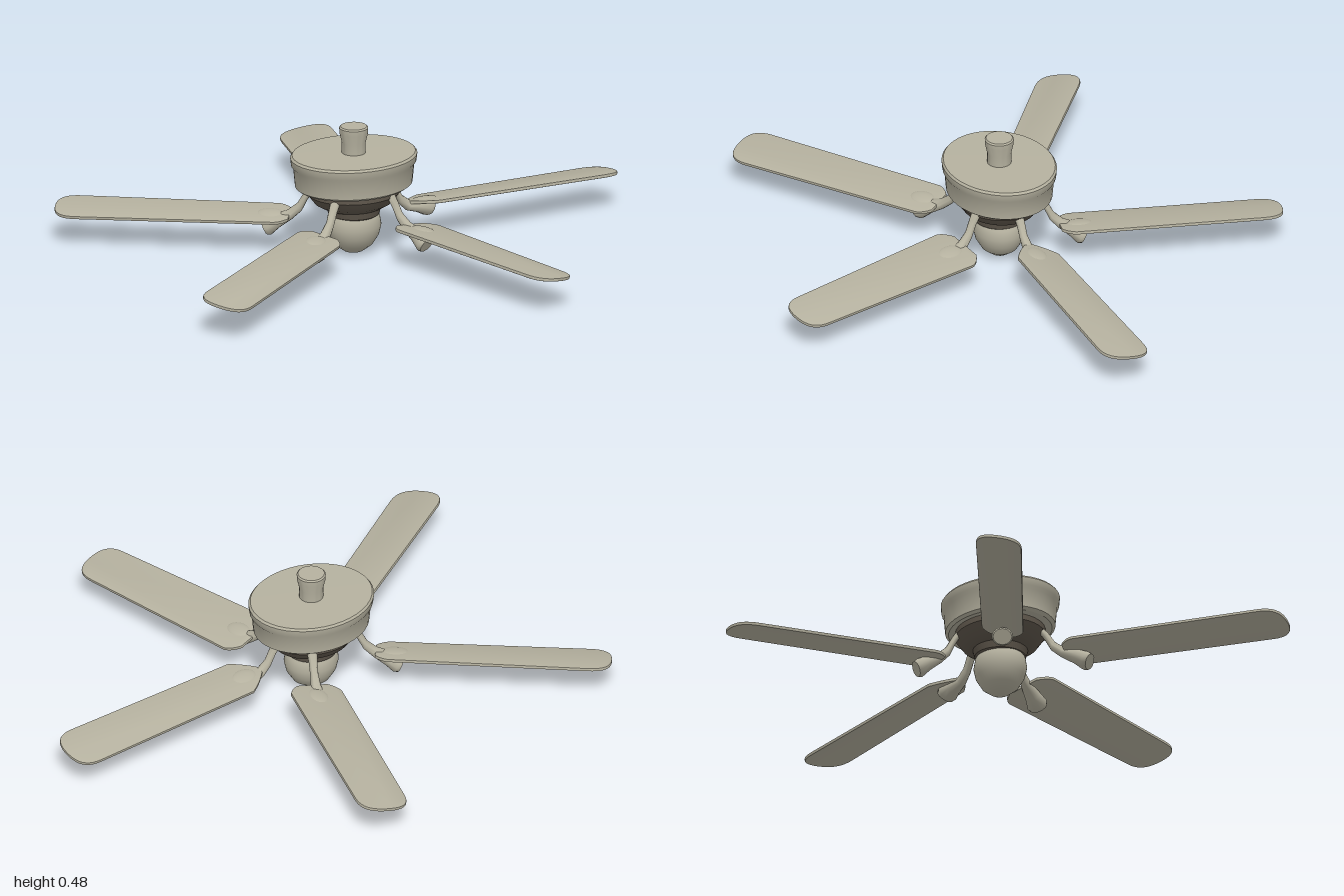
import * as THREE from 'three';
import { toCreasedNormals } from 'three/addons/utils/BufferGeometryUtils.js';

const HUB_X = -0.073;
const HUB_Z = 0.005;

export function createModel() {
  const fan = new THREE.Group();
  fan.name = 'ceilingFan';
  const putty = new THREE.MeshStandardMaterial({ color: 0xb5b19f });
  putty.name = 'putty';
  const darkBrown = new THREE.MeshStandardMaterial({ color: 0x5f574c });
  darkBrown.name = 'darkBrown';

  const add = (parent, name, geometry, material = putty) => {
    const mesh = new THREE.Mesh(geometry, material);
    mesh.name = name;
    parent.add(mesh);
    return mesh;
  };

  // Turned parts: profile of [radius, height], listed from bottom to top
  const turned = (name, profile, sz, material) => {
    const points = profile.map(([r, y]) => new THREE.Vector2(r, y));
    const mesh = add(fan, name, toCreasedNormals(new THREE.LatheGeometry(points, 40), 0.6), material);
    mesh.position.set(HUB_X, 0, HUB_Z);
    mesh.scale.z = sz;
  };
  turned('downrod', [[0.043, 0.37], [0.043, 0.42], [0.051, 0.455], [0.052, 0.475], [0.047, 0.48], [0, 0.48]], 1);
  turned('motorHousing', [[0, 0.256], [0.205, 0.256], [0.218, 0.265], [0.225, 0.335], [0.233, 0.345],
    [0.236, 0.372], [0.229, 0.38], [0, 0.382]], 0.845);
  turned('lowerHousing', [[0, 0.18], [0.11, 0.18], [0.145, 0.2], [0.172, 0.235], [0.172, 0.258]], 0.9, darkBrown);
  turned('switchHousing', [[0.07, 0.14], [0.092, 0.155], [0.1, 0.185]], 1, darkBrown);
  turned('lightGlobe', [[0, 0.004], [0.035, 0.013], [0.07, 0.038], [0.093, 0.075], [0.101, 0.11],
    [0.095, 0.145], [0.078, 0.17], [0, 0.175]], 0.92);

  // Blade outline along x, rounded at the tip and tapered at the root
  const bladeGeometry = (length, width, rootWidth, pointed) => {
    const h = width / 2 - 0.003;
    const r = rootWidth / 2 - 0.003;
    const L = length - 0.003;
    const rootHalf = pointed ? 0.014 : r * 0.6;
    const shoulder = pointed ? 0.085 : 0.05;
    const bend = pointed ? 0.7 : 0.95;
    const s = new THREE.Shape();
    s.moveTo(0.003, -rootHalf);
    s.quadraticCurveTo(shoulder * 0.5, -r * bend, shoulder, -r);
    s.lineTo(L - 0.08, -h);
    s.bezierCurveTo(L - 0.02, -h, L, -h * 0.65, L, 0);
    s.bezierCurveTo(L, h * 0.65, L - 0.02, h, L - 0.08, h);
    s.lineTo(shoulder, r);
    s.quadraticCurveTo(shoulder * 0.5, r * bend, 0.003, rootHalf);
    s.closePath();
    const g = new THREE.ExtrudeGeometry(s, {
      depth: 0.006, bevelEnabled: true, bevelThickness: 0.003, bevelSize: 0.003, bevelSegments: 2, curveSegments: 10,
    });
    g.translate(0, 0, -0.003);
    g.rotateX(Math.PI / 2);
    return toCreasedNormals(g, 0.7);
  };

  // Loft of oval sections [x, y, halfHeight, halfWidth], capped at both ends
  const loft = (sections, sides = 12) => {
    const position = [];
    const index = [];
    sections.forEach(([x, y, a, b]) => {
      for (let j = 0; j < sides; j++) {
        const t = (j / sides) * Math.PI * 2;
        position.push(x + Math.cos(t) * a * 0.5, y + Math.cos(t) * a, Math.sin(t) * b);
      }
    });
    const n = sections.length;
    for (let i = 0; i < n - 1; i++) {
      for (let j = 0; j < sides; j++) {
        const p = i * sides + j;
        const q = i * sides + ((j + 1) % sides);
        index.push(p, q, p + sides, q, q + sides, p + sides);
      }
    }
    for (let j = 1; j < sides - 1; j++) {
      const e = (n - 1) * sides;
      index.push(0, j + 1, j, e, e + j, e + j + 1);
    }
    const g = new THREE.BufferGeometry();
    g.setAttribute('position', new THREE.Float32BufferAttribute(position, 3));
    g.setIndex(index);
    return toCreasedNormals(g, 0.9);
  };

  // Blades: root and tip on the plan, tip and root width, root and tip height
  const blades = [
    { root: [0.155, -0.002], tip: [1.0, -0.01], width: 0.186, rootWidth: 0.165, y: [0.152, 0.127], pointed: true },
    { root: [0.048, -0.175], tip: [0.262, -0.955], width: 0.19, rootWidth: 0.195, y: [0.14, 0.13] },
    { root: [-0.262, -0.125], tip: [-0.93, -0.645], width: 0.165, rootWidth: 0.15, y: [0.14, 0.13] },
    { root: [-0.275, 0.147], tip: [-0.977, 0.61], width: 0.184, rootWidth: 0.17, y: [0.14, 0.13] },
    { root: [0.047, 0.195], tip: [0.233, 0.95], width: 0.18, rootWidth: 0.212, y: [0.14, 0.127] },
  ];
  blades.forEach(({ root, tip, width, rootWidth, y, pointed }) => {
    const dx = tip[0] - root[0];
    const dz = tip[1] - root[1];
    const length = Math.hypot(dx, dz);
    const arm = new THREE.Group();
    arm.name = 'bladeAssembly';
    fan.add(arm);

    const holder = new THREE.Group();
    holder.name = 'bladeHolder';
    holder.position.set(root[0], y[0], root[1]);
    holder.rotation.set(-0.16, Math.atan2(-dz, dx), Math.atan2(y[1] - y[0], length), 'YZX');
    arm.add(holder);
    add(holder, 'blade', bladeGeometry(length, width, rootWidth, pointed));

    // Low rounded clamp on top of the blade root
    const pad = add(holder, 'bladeClamp', new THREE.SphereGeometry(1, 16, 10));
    pad.position.set(0.07, 0.002, 0);
    pad.scale.set(0.05, 0.01, 0.036);

    // Curved bracket from the motor down to a flared foot below the blade
    const rx = root[0] - HUB_X;
    const rz = root[1] - HUB_Z;
    const reach = Math.hypot(rx, rz);
    const ax = HUB_X + (rx / reach) * 0.145;
    const az = HUB_Z + (rz / reach) * 0.145;
    const fx = root[0] + (dx / length) * 0.09 - ax;
    const fz = root[1] + (dz / length) * 0.09 - az;
    const L = Math.hypot(fx, fz);
    const drop = pointed ? 0.03 : 0;
    const bracket = add(arm, 'bladeBracket', loft([
      [0, 0.25, 0.012, 0.02], [L * 0.15, 0.212, 0.013, 0.016], [L * 0.28, 0.17, 0.015, 0.015],
      [L * 0.48, 0.14, 0.017, 0.019], [L * 0.75, 0.115 + drop * 0.6, 0.024, 0.03],
      [L * 0.93, 0.094 + drop, 0.03, 0.039], [L, 0.088 + drop, 0.026, 0.034],
    ]));
    bracket.position.set(ax, 0, az);
    bracket.rotation.y = Math.atan2(-fz, fx);
  });

  return fan;
}
